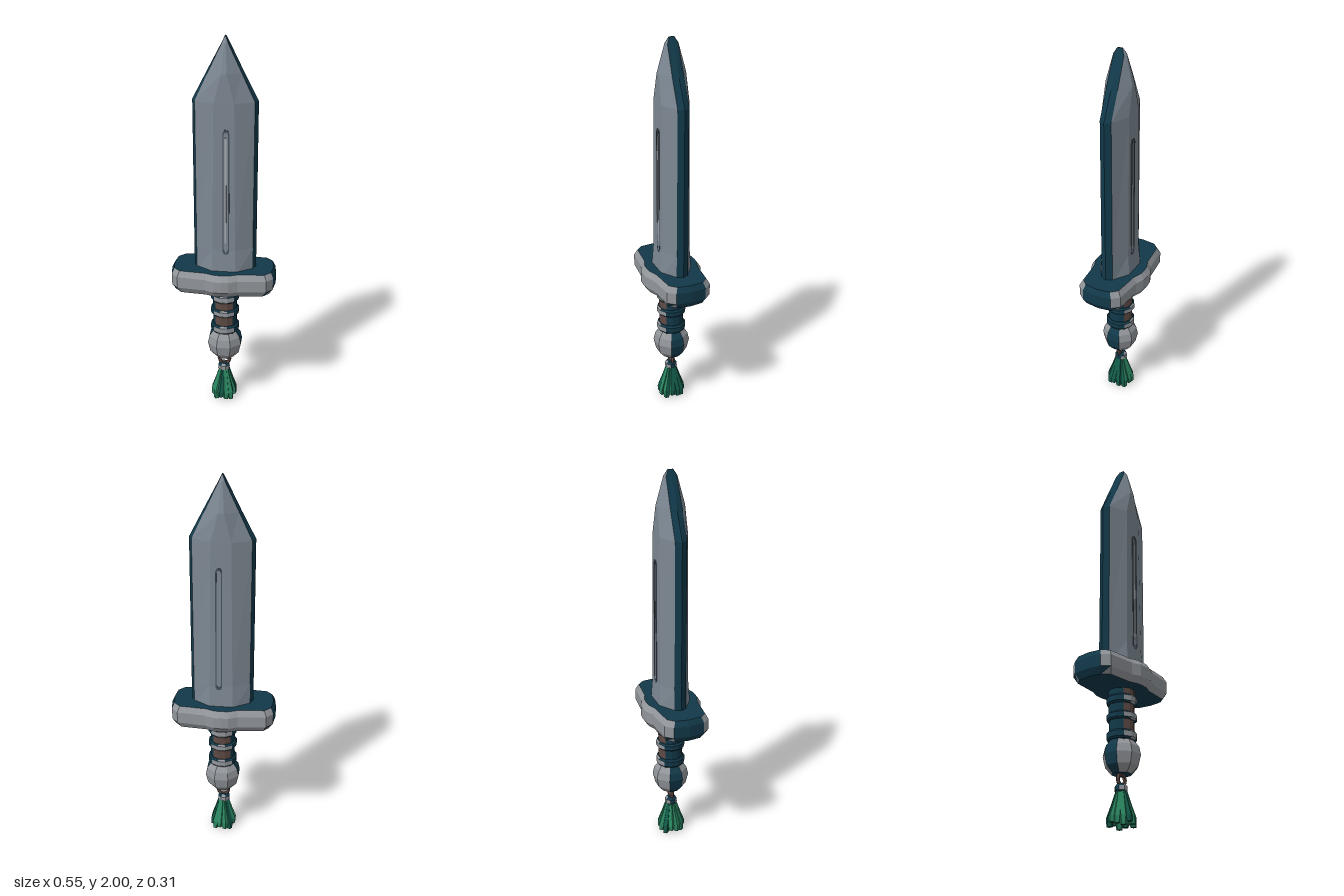
import * as THREE from 'three';

const mat = (name, color) => {
  const m = new THREE.MeshStandardMaterial({ color });
  m.name = name;
  m.flatShading = true;
  return m;
};

// Loft closed rings (counter-clockwise from above, bottom to top) with flat caps.
// Facets that face front or back go to material 0, all others to material 1.
function loft(rings, threshold) {
  const sets = [[], []];
  const ab = new THREE.Vector3(), ac = new THREE.Vector3();
  const tri = (a, b, c) => {
    ab.subVectors(b, a);
    ac.subVectors(c, a);
    const n = ab.cross(ac);
    if (n.length() < 1e-9) return;
    sets[Math.abs(n.normalize().z) > threshold ? 0 : 1].push(a, b, c);
  };
  const count = rings[0].length, last = rings[rings.length - 1];
  const middle = (ring) => ring.reduce((s, p) => s.add(p), new THREE.Vector3()).divideScalar(count);
  const low = middle(rings[0]), high = middle(last);
  for (let i = 0; i < count; i++) {
    const j = (i + 1) % count;
    for (let k = 0; k + 1 < rings.length; k++) {
      const a = rings[k], b = rings[k + 1];
      tri(a[i], a[j], b[j]);
      tri(a[i], b[j], b[i]);
    }
    tri(low, rings[0][j], rings[0][i]);
    tri(high, last[i], last[j]);
  }
  const g = new THREE.BufferGeometry().setFromPoints([...sets[0], ...sets[1]]);
  g.addGroup(0, sets[0].length, 0);
  g.addGroup(sets[0].length, sets[1].length, 1);
  g.computeVertexNormals();
  return g;
}

// Mirror a quarter outline [x, z] (from the x axis to the z axis) into a full ring
function mirrorRing(q, y, sx = 1, sz = 1) {
  const r = [...q].reverse();
  const put = (list, mx, mz) => list.map(([x, z]) => new THREE.Vector3(x * mx * sx, y, z * mz * sz));
  return [...put(q, 1, -1), ...put(r.slice(1), -1, -1), ...put(q.slice(1), -1, 1), ...put(r.slice(1, -1), 1, 1)];
}

// Regular polygon ring with a flat facing +x
const polyRing = (n, r, y, cx = 0, cz = 0) => Array.from({ length: n }, (_, i) => {
  const a = ((i + 0.5) / n) * Math.PI * 2;
  return new THREE.Vector3(cx + r * Math.cos(a), y, cz - r * Math.sin(a));
});

export function createModel() {
  const steel = mat('blade steel', 0x7d8893);
  const silver = mat('guard silver', 0x92969b);
  const teal = mat('dark teal', 0x12394a);
  const brown = mat('grip brown', 0x5e4a44);
  const groove = mat('groove dark', 0x46525d);
  const shine = mat('groove shine', 0xa9adb1);
  const green = mat('tassel green', 0x2a8560);
  const deepGreen = mat('tassel deep green', 0x125a48);

  const model = new THREE.Group();
  model.name = 'sword';
  const add = (name, geometry, material, parent = model) => {
    const m = new THREE.Mesh(geometry, material);
    m.name = name;
    parent.add(m);
    return m;
  };

  // Blade: [y, half width, edge z, flat half width, face z]
  const blade = [
    [0.78, 0.16, 0.032, 0.062, 0.086],
    [0.92, 0.161, 0.031, 0.058, 0.076],
    [1.69, 0.162, 0.03, 0.05, 0.073],
    [1.83, 0.09, 0.03, 0.014, 0.07],
    [1.97, 0.017, 0.027, 0.004, 0.034],
    [2.0, 0.003, 0.012, 0.001, 0.014],
  ].map(([y, w, e, f, z]) => mirrorRing([[w, 0], [w * 0.9, e], [f, z], [0, z]], y));
  add('blade', loft(blade, 0.6), [steel, teal]).position.x = 0.007;

  // Narrow groove on both faces: a thin dark rim around a bright line
  const slot = (w, y0, y1) => [
    [-w, y0 + w * 2], [0, y0], [w, y0 + w * 2], [w, y1 - w], [w * 0.5, y1], [-w * 0.5, y1], [-w, y1 - w],
  ].map(([x, y]) => new THREE.Vector2(x, y));
  const rim = new THREE.Shape(slot(0.017, 0.88, 1.56));
  rim.holes.push(new THREE.Path(slot(0.011, 0.905, 1.548)));
  const rimGeometry = new THREE.ExtrudeGeometry(rim, { depth: 0.004, bevelEnabled: false });
  for (const side of [1, -1]) {
    const g = new THREE.Group();
    g.name = side > 0 ? 'frontGroove' : 'backGroove';
    add('grooveRim', rimGeometry, groove, g).position.z = 0.0735;
    if (side > 0) add('grooveShine', new THREE.BoxGeometry(0.008, 0.56, 0.004), shine, g).position.set(-0.002, 1.24, 0.0752);
    g.position.x = 0.018;
    if (side < 0) g.rotation.y = Math.PI;
    model.add(g);
  }

  // Guard: bevelled block with a bulge in the middle
  const outline = [[0.273, 0], [0.263, 0.08], [0.23, 0.118], [0.085, 0.133], [0.038, 0.153], [0, 0.156]];
  const guard = [
    [0.682, 0.92, 0.86], [0.715, 0.995, 1], [0.775, 1, 1], [0.805, 0.95, 0.87],
  ].map(([y, sx, sz]) => mirrorRing(outline, y, sx, sz));
  add('guard', loft(guard, 0.55), [silver, teal]);

  // Grip with three raised bands
  const handle = new THREE.Group();
  handle.name = 'handle';
  handle.position.x = 0.006;
  model.add(handle);
  add('grip', loft([polyRing(12, 0.063, 0.41), polyRing(12, 0.066, 0.7)], 0.7), [brown, teal], handle);
  for (const [y, h] of [[0.445, 0.046], [0.542, 0.04], [0.628, 0.046]]) {
    const rings = [[0.068, -0.5], [0.076, -0.3], [0.076, 0.3], [0.068, 0.5]]
      .map(([r, t]) => polyRing(12, r, y + t * h));
    add('gripBand', loft(rings, 0.7), [silver, teal], handle);
  }

  // Faceted pommel
  const pommel = [[0.05, 0.258], [0.083, 0.295], [0.096, 0.35], [0.087, 0.39], [0.056, 0.432]]
    .map(([r, y]) => polyRing(8, r, y));
  add('pommel', loft(pommel, 0.45), [silver, teal], handle);

  // Hanging ring and tied tassel
  const tassel = new THREE.Group();
  tassel.name = 'tassel';
  model.add(tassel);
  add('hangingRing', new THREE.TorusGeometry(0.028, 0.01, 5, 10), brown, tassel).position.set(0.003, 0.232, 0);
  const knot = [[0.022, 0.165], [0.033, 0.175], [0.032, 0.197], [0.02, 0.21]].map(([r, y]) => polyRing(8, r, y));
  add('knot', loft(knot, 0.55), [silver, teal], tassel);
  add('tasselCore', loft([polyRing(7, 0.034, 0.075), polyRing(7, 0.026, 0.18)], 0.3), [green, deepGreen], tassel);

  // Strands flare outwards and part in the middle below
  const strands = 12;
  for (let i = 0; i < strands; i++) {
    const a = ((i + 0.5) / strands) * Math.PI * 2;
    const c = Math.cos(a), s = Math.sin(a);
    const end = i % 3 === 0 ? 0.022 : i % 3 === 1 ? 0.004 : 0.013;
    const rings = [[0.054, 0.015, end], [0.05, 0.02, 0.05], [0.033, 0.016, 0.11], [0.016, 0.011, 0.18]]
      .map(([d, r, y]) => polyRing(5, r, y, d * c + 0.003, d * s * 1.1));
    add('strand', loft(rings, 0.35), i % 4 === 3 ? [deepGreen, deepGreen] : [green, deepGreen], tassel);
  }

  return model;
}
